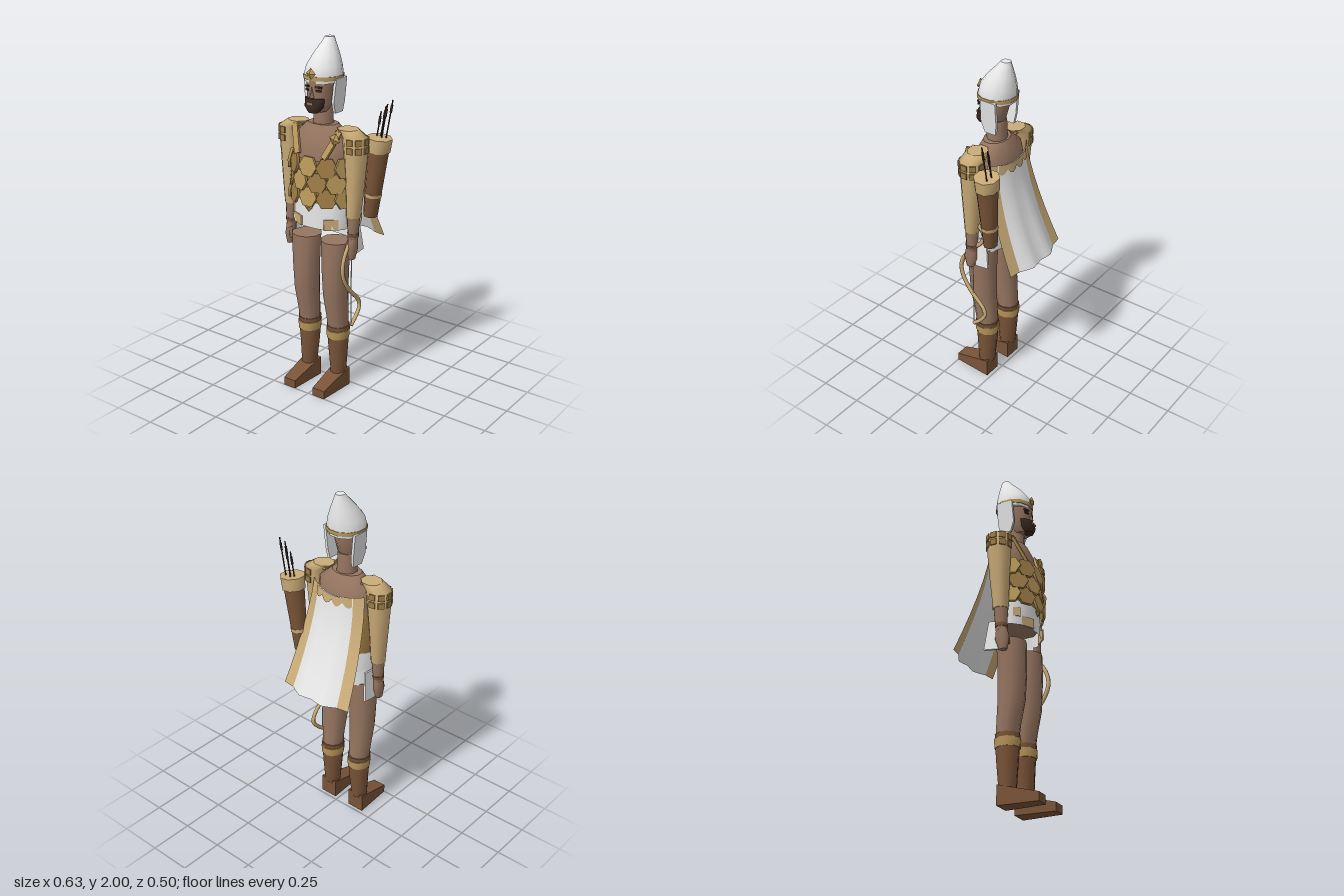
import * as THREE from 'three';

const material = (name, color, side = THREE.FrontSide) => {
  const m = new THREE.MeshStandardMaterial({ color, side });
  m.name = name;
  return m;
};

// Closed tube through elliptical sections [y, cx, cz, rx, rz], listed bottom to top
function loft(sections, sides = 10, capped = true) {
  const pos = [], idx = [], n = sections.length;
  const ring = ([y, cx, cz, rx, rz]) => {
    for (let j = 0; j < sides; j++) {
      const a = ((j + 0.5) / sides) * Math.PI * 2;
      pos.push(cx + rx * Math.cos(a), y, cz + rz * Math.sin(a));
    }
  };
  sections.forEach(ring);
  for (let i = 0; i < n - 1; i++) for (let j = 0; j < sides; j++) {
    const k = (j + 1) % sides, a = i * sides + j, b = i * sides + k;
    idx.push(a, a + sides, b, b, a + sides, b + sides);
  }
  if (capped) [sections[0], sections[n - 1]].forEach((s, top) => {
    const start = pos.length / 3;
    ring(s);
    for (let j = 1; j < sides - 1; j++) {
      if (top) idx.push(start, start + j + 1, start + j);
      else idx.push(start, start + j, start + j + 1);
    }
  });
  const g = new THREE.BufferGeometry();
  g.setAttribute('position', new THREE.Float32BufferAttribute(pos, 3));
  g.setIndex(idx);
  g.computeVertexNormals();
  return g;
}

// Open sheet from a rule p(u, v) -> [x, y, z]
function sheet(p, u0, u1, nu, nv) {
  const g = new THREE.PlaneGeometry(1, 1, nu, nv), a = g.attributes.position;
  for (let i = 0; i < a.count; i++) {
    const t = a.getX(i) + 0.5, v = 0.5 - a.getY(i);
    a.setXYZ(i, ...p(u0 + (u1 - u0) * t, v));
  }
  g.computeVertexNormals();
  return g;
}

export function createModel() {
  const skin = material('skin', 0x977661);
  const tan = material('tan cloth', 0xcbac78, THREE.DoubleSide);
  const gold = material('gold', 0xb9975a);
  const bronze = material('bronze', 0x9c7b45);
  const white = material('white cloth', 0xe8e8e8, THREE.DoubleSide);
  const leather = material('leather', 0x7a5438);
  const dark = material('dark hair', 0x3b2a20);

  const root = new THREE.Group();
  const body = new THREE.Group();
  body.name = 'body';
  body.position.x = -0.03;
  root.add(body);
  const put = (name, geo, mat, p = [0, 0, 0], r = [0, 0, 0], parent = body) => {
    const m = new THREE.Mesh(geo, mat);
    m.name = name;
    m.position.set(...p);
    m.rotation.set(...r);
    parent.add(m);
    return m;
  };
  const box = (w, h, d) => new THREE.BoxGeometry(w, h, d);

  // Torso, neck and head
  put('torso', loft([[1.05, 0, 0.06, 0.17, 0.105], [1.2, 0, 0.06, 0.175, 0.115], [1.38, 0, 0.055, 0.185, 0.118],
    [1.48, 0, 0.05, 0.17, 0.1], [1.55, 0, 0.055, 0.09, 0.065]], 12), skin);
  put('neck', loft([[1.53, 0, 0.055, 0.06, 0.056], [1.66, 0, 0.055, 0.052, 0.052]]), skin);
  put('head', loft([[1.62, 0, 0.09, 0.045, 0.055], [1.66, 0, 0.08, 0.066, 0.07], [1.73, 0, 0.072, 0.074, 0.083],
    [1.8, 0, 0.068, 0.078, 0.085]], 12), skin);
  put('beard', loft([[1.62, 0, 0.14, 0.032, 0.028], [1.65, 0, 0.136, 0.055, 0.042], [1.695, 0, 0.12, 0.062, 0.045]], 8), dark);
  put('mouth', box(0.04, 0.012, 0.008), skin, [0, 1.672, 0.172]);
  put('nose', new THREE.ConeGeometry(0.016, 0.06, 4), skin, [0, 1.728, 0.155]);
  for (const s of [-1, 1]) {
    put('eye', box(0.03, 0.01, 0.008), dark, [s * 0.036, 1.738, 0.145], [0, s * 0.35, 0]);
    put('brow', box(0.038, 0.01, 0.009), dark, [s * 0.036, 1.757, 0.145], [0, s * 0.35, s * -0.1]);
  }

  // Helmet with band, front jewel and cheek flaps
  put('helmet', loft([[1.775, 0, 0.05, 0.103, 0.102], [1.81, 0, 0.05, 0.106, 0.106], [1.86, 0, 0.045, 0.094, 0.1],
    [1.92, 0, 0.026, 0.066, 0.073], [1.975, 0, 0.005, 0.036, 0.04], [2, 0, -0.002, 0.025, 0.027]], 12), white);
  put('helmetBand', loft([[1.79, 0, 0.05, 0.109, 0.109], [1.812, 0, 0.05, 0.109, 0.109]], 12), gold);
  const jewel = put('helmetJewel', new THREE.OctahedronGeometry(0.032), gold, [0, 1.828, 0.162]);
  jewel.scale.z = 0.4;
  const flap = new THREE.ExtrudeGeometry(new THREE.Shape([[-0.01, 0], [-0.008, -0.13], [0.002, -0.19], [0.068, -0.19],
    [0.09, -0.13], [0.085, 0]].map(([x, y]) => new THREE.Vector2(x, y))), { depth: 0.016, bevelEnabled: false });
  flap.translate(0, 0, -0.008);
  for (const s of [-1, 1]) put('cheekFlap', flap, white, [s * 0.1, 1.8, 0], [0, -Math.PI / 2, s * -0.1, 'ZYX']).rotation.order = 'ZYX';

  // Point on the armour surface at angle t from the front
  const around = (t, rx, rz) => [Math.sin(t) * rx, 0.06 + Math.cos(t) * rz];
  const hex = new THREE.CylinderGeometry(0.06, 0.06, 0.014, 6);
  hex.rotateY(Math.PI / 6).rotateX(Math.PI / 2);

  // Staggered rows of overlapping chest plates
  put('chestArmour', loft([[1.11, 0, 0.06, 0.178, 0.118], [1.25, 0, 0.06, 0.182, 0.122], [1.37, 0, 0.06, 0.188, 0.124]], 12, false), bronze);
  for (let row = 0; row < 3; row++) {
    const count = row === 1 ? 4 : 5;
    for (let i = 0; i < count; i++) {
      const t = (i - (count - 1) / 2) * 0.6, [x, z] = around(t, 0.188, 0.132);
      const plate = put('armourPlate', hex, (i + row) % 2 ? bronze : gold, [x, 1.335 - row * 0.085, z], [-0.14, t, 0]);
      plate.rotation.order = 'YXZ';
      plate.scale.set(0.98, 1, 1);
    }
  }
  const tip = put('armourTip', new THREE.OctahedronGeometry(0.028), gold, [0, 1.105, 0.19]);
  tip.scale.z = 0.4;

  // Skirt: front wrap, longer back, patches and hip flaps
  put('skirt', loft([[0.985, 0, 0.075, 0.18, 0.11], [1.13, 0, 0.065, 0.177, 0.118]], 12, false), white);
  const back = new THREE.CylinderGeometry(0.18, 0.175, 0.1, 8, 1, true, Math.PI / 2, Math.PI);
  put('skirtBack', back.scale(1, 1, 0.6), white, [0, 0.945, 0.075]);
  for (const [t, y, w, h] of [[-0.95, 1.06, 0.04, 0.05], [-0.5, 1.015, 0.08, 0.055], [0.75, 1.015, 0.08, 0.06]]) {
    const [x, z] = around(t, 0.178, 0.125);
    put('skirtPatch', box(w, h, 0.008), tan, [x, y, z], [0, t, 0]);
  }

  for (const s of [-1, 1]) {
    put('hipFlap', box(0.012, 0.17, 0.085), white, [s * 0.195, 0.92, 0.02], [0.12, 0, s * 0.1]);

    // Shoulder strap
    put('strap', box(0.034, 0.17, 0.016), gold, [s * 0.118, 1.46, 0.14], [-0.4, 0, s * -0.38]);
    put('strapTop', box(0.034, 0.016, 0.1), gold, [s * 0.14, 1.525, 0.07]);

    // Sleeve, forearm and hand
    put('sleeve', loft([[1.06, s * 0.21, 0.07, 0.041, 0.042], [1.25, s * 0.215, 0.064, 0.053, 0.055],
      [1.42, s * 0.214, 0.06, 0.068, 0.066], [1.5, s * 0.212, 0.06, 0.073, 0.07], [1.54, s * 0.165, 0.058, 0.062, 0.056]], 8), tan);
    for (const y of [1.44, 1.485]) for (let i = 0; i < 5; i++) {
      const t = (i - 2) * 0.72;
      put('sleevePlate', box(0.007, 0.034, 0.036), bronze,
        [s * (0.213 + Math.cos(t) * 0.07), y, 0.06 + Math.sin(t) * 0.068], [0, -s * t, 0]);
    }
    put('forearm', loft([[0.93, s * 0.212, 0.075, 0.027, 0.031], [1.07, s * 0.21, 0.07, 0.038, 0.039]], 8), skin);
    put('wristBand', loft([[0.95, s * 0.212, 0.074, 0.031, 0.035], [0.97, s * 0.212, 0.074, 0.032, 0.036]], 8), leather);
    put('hand', loft([[0.82, s * 0.212, 0.085, 0.017, 0.024], [0.88, s * 0.214, 0.08, 0.026, 0.04],
      [0.94, s * 0.212, 0.076, 0.026, 0.031]], 8), skin);
    put('thumb', loft([[0.86, s * 0.19, 0.105, 0.009, 0.01], [0.92, s * 0.2, 0.098, 0.012, 0.013]], 6), skin);

    // Leg and boot
    put('leg', loft([[0.36, s * 0.1, 0.055, 0.06, 0.062], [0.45, s * 0.1, 0.063, 0.065, 0.066],
      [0.58, s * 0.1, 0.08, 0.072, 0.076], [0.75, s * 0.1, 0.084, 0.08, 0.08], [0.905, s * 0.1, 0.08, 0.086, 0.083]]), skin);
    put('bootShaft', loft([[0.09, s * 0.104, 0.058, 0.045, 0.048], [0.25, s * 0.1, 0.055, 0.058, 0.06],
      [0.385, s * 0.1, 0.056, 0.067, 0.068]]), leather);
    put('bootBand', loft([[0.31, s * 0.1, 0.056, 0.064, 0.07], [0.36, s * 0.1, 0.056, 0.068, 0.073]]), gold);
    const foot = box(0.105, 0.11, 0.23).toNonIndexed(), p = foot.attributes.position;
    for (let i = 0; i < p.count; i++) if (p.getZ(i) > 0) {
      p.setX(i, p.getX(i) * 0.75);
      if (p.getY(i) > 0) p.setY(i, -0.007);
    }
    foot.computeVertexNormals();
    put('foot', foot, leather, [s * 0.103, 0.055, 0.135]);
  }
  const buckle = put('strapBuckle', new THREE.OctahedronGeometry(0.036), gold, [0.14, 1.495, 0.145], [0, 0, -0.3]);
  buckle.scale.z = 0.4;

  // Cape with tan borders and a ragged tan top
  const cape = (u, v) => [u * (0.175 + 0.055 * v), 1.45 - 0.58 * v + 0.02 * u * u * (1 - v),
    -0.065 - 0.185 * v ** 1.5 + 0.055 * u * u + 0.01 * v * Math.cos(u * 9)];
  put('capeCentre', sheet(cape, -0.69, 0.69, 8, 6), white);
  put('capeBorder', sheet(cape, -1, -0.69, 2, 6), tan);
  put('capeBorder', sheet(cape, 0.69, 1, 2, 6), tan);
  const ragged = (u, v) => {
    const [x, y, z] = cape(u, v * (0.05 + 0.05 * Math.abs(Math.sin(u * 8))));
    return [x, y, z - 0.007];
  };
  put('capeTopTrim', sheet(ragged, -0.69, 0.69, 14, 1), tan);

  // Quiver leaning outwards, with arrows
  const quiver = new THREE.Group();
  quiver.name = 'quiver';
  quiver.position.set(0.197, 1.03, -0.067);
  quiver.rotation.z = -0.1;
  root.add(quiver);
  put('quiverBody', loft([[0, 0, 0, 0.04, 0.04], [0.44, 0, -0.01, 0.064, 0.064]], 8), leather, undefined, undefined, quiver);
  put('quiverRim', loft([[0.375, 0, -0.01, 0.067, 0.067], [0.45, 0, -0.012, 0.071, 0.071]], 8), tan, undefined, undefined, quiver);
  put('quiverBand', loft([[0.115, 0, -0.003, 0.049, 0.049], [0.135, 0, -0.003, 0.05, 0.05]], 8), tan, undefined, undefined, quiver);
  [[-0.025, -0.022, 0.59], [-0.008, -0.037, 0.62], [0.012, -0.018, 0.64], [0.032, -0.034, 0.665]].forEach(([x, z, top]) => {
    put('arrow', new THREE.CylinderGeometry(0.004, 0.004, 0.3, 5), dark, [x, top - 0.15, z], [0, 0, -0.08], quiver);
    put('arrowFletching', box(0.012, 0.045, 0.006), dark, [x + 0.008, top - 0.05, z], [0, 0, -0.08], quiver);
  });

  // Recurved bow and string
  const half = [[0.075, 0.365], [0.02, 0.315], [-0.005, 0.27], [0.01, 0.225], [0.085, 0.15], [0.14, 0.07]];
  const path = [...half.map(([z, d]) => [z, -d]), [0.158, 0], ...half.slice().reverse()]
    .map(([z, d]) => new THREE.Vector3(0.172, 0.775 + d, z));
  put('bow', new THREE.TubeGeometry(new THREE.CatmullRomCurve3(path), 36, 0.012, 6), tan, undefined, undefined, root);
  put('bowString', new THREE.CylinderGeometry(0.003, 0.003, 0.73, 5), white, [0.172, 0.775, 0.075], undefined, root);

  return root;
}
